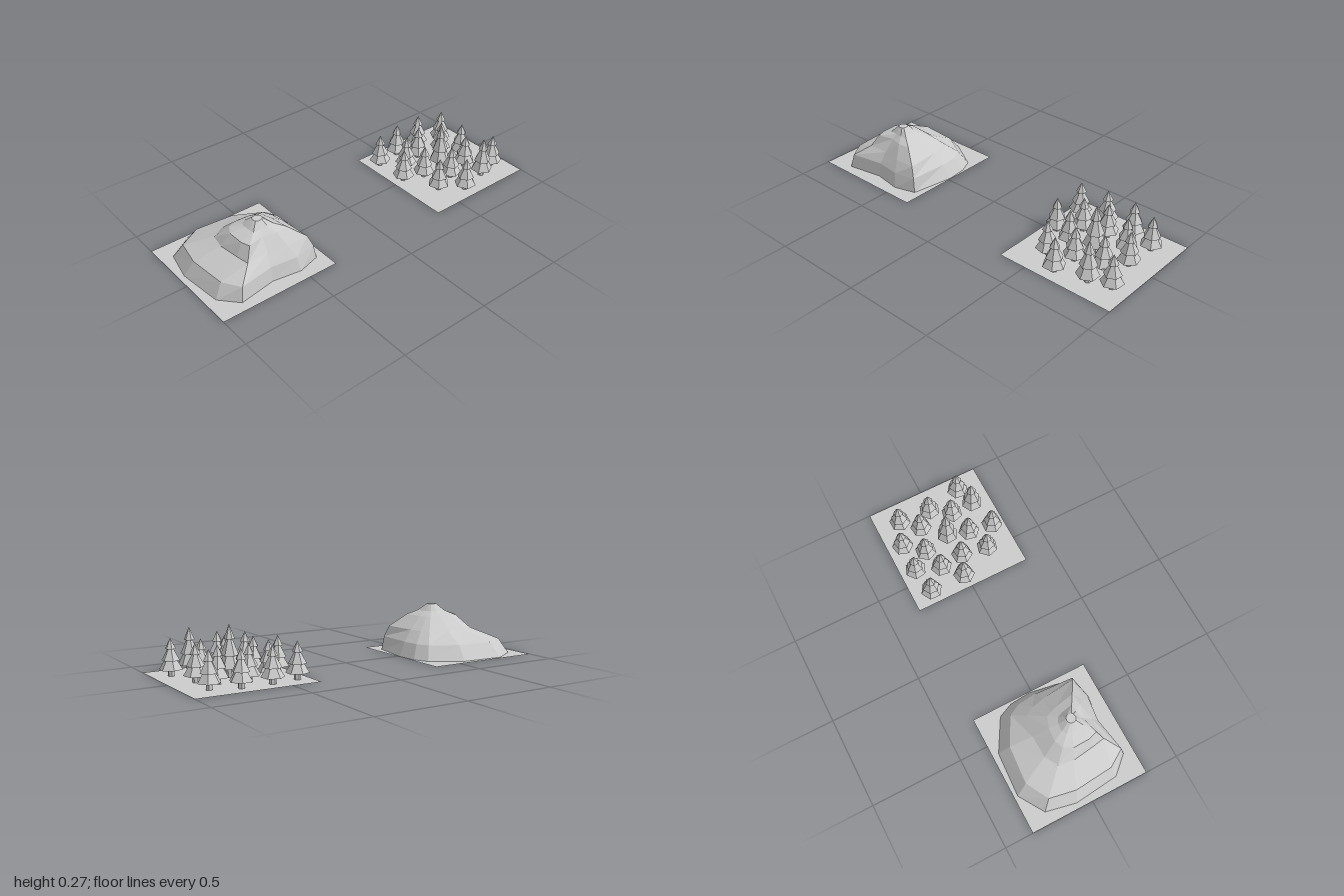
import * as THREE from 'three';

const material = new THREE.MeshStandardMaterial({ color: 0xcccccc, flatShading: true, side: THREE.DoubleSide });

// Mountain spokes, counter-clockwise from above: foot x, foot z,
// then how far out each middle level lies between summit (0) and foot (1)
const SUMMIT = [0.065, 0.62];
const LEVELS = [0, 0.078, 0.138, 0.205, 0.23, 0.267];
const SPOKES = [
  [-0.325, 0.80, 0.85, 0.49, 0.30, 0.17],
  [-0.24, 0.935, 0.87, 0.50, 0.32, 0.17],
  [-0.075, 0.97, 0.86, 0.49, 0.36, 0.17],
  [0.17, 0.945, 0.87, 0.48, 0.38, 0.17],
  [0.265, 0.86, 0.93, 0.60, 0.45, 0.22],
  [0.23, 0.66, 0.93, 0.70, 0.40, 0.27],
  [0.255, 0.505, 0.90, 0.70, 0.45, 0.25],
  [0.22, 0.385, 0.95, 0.85, 0.50, 0.28],
  [-0.015, 0.345, 0.86, 0.66, 0.36, 0.20],
  [-0.13, 0.355, 0.86, 0.63, 0.33, 0.18],
  [-0.21, 0.39, 0.85, 0.62, 0.33, 0.18],
  [-0.31, 0.56, 0.84, 0.52, 0.30, 0.17],
];

// Tree positions (x, z) and height factor
const TREES = [
  [-0.19, -0.87], [-0.01, -0.86], [0.19, -0.905], [-0.10, -0.785], [0.095, -0.785], [0.225, -0.79, 1.21],
  [-0.24, -0.73], [-0.14, -0.64], [0.01, -0.67, 1.39], [0.13, -0.64], [0.265, -0.62], [-0.24, -0.565],
  [-0.105, -0.515], [0.03, -0.53], [0.175, -0.505], [-0.215, -0.415], [-0.015, -0.415],
];

function mesh(name, geometry) {
  const m = new THREE.Mesh(geometry, material);
  m.name = name;
  return m;
}

// Flat ground plate, optionally open beneath a hollow form
function plate(name, x0, x1, z0, z1, outline) {
  const shape = new THREE.Shape([[x0, -z1], [x1, -z1], [x1, -z0], [x0, -z0]].map(p => new THREE.Vector2(...p)));
  if (outline) shape.holes.push(new THREE.Path(outline.map(([x, z]) => new THREE.Vector2(x, -z))));
  return mesh(name, new THREE.ShapeGeometry(shape).rotateX(-Math.PI / 2));
}

// Hollow mountain lofted through the level rings, with a flat summit
function mountainGeometry() {
  const n = SPOKES.length, positions = [], index = [];
  LEVELS.forEach((y, level) => {
    for (const spoke of SPOKES) {
      const dx = spoke[0] - SUMMIT[0], dz = spoke[1] - SUMMIT[1];
      let f = level === 0 ? 1 : spoke[level + 1];
      if (level === LEVELS.length - 1) f = 0.025 / Math.hypot(dx, dz);
      positions.push(SUMMIT[0] + dx * f, y, SUMMIT[1] + dz * f);
    }
  });
  for (let level = 0; level < LEVELS.length - 1; level++) {
    for (let i = 0; i < n; i++) {
      const a = level * n + i, b = level * n + (i + 1) % n;
      index.push(a, b, b + n, a, b + n, a + n);
    }
  }
  const top = (LEVELS.length - 1) * n;
  for (let i = 1; i < n - 1; i++) index.push(top, top + i, top + i + 1);
  const g = new THREE.BufferGeometry();
  g.setAttribute('position', new THREE.Float32BufferAttribute(positions, 3));
  g.setIndex(index);
  g.computeVertexNormals();
  return g;
}

// Six-sided stepped outline: three skirts of needles, then the trunk
const foliage = new THREE.LatheGeometry([
  [0, 0.034], [0.06, 0.034], [0.032, 0.08], [0.046, 0.08], [0.015, 0.138], [0.027, 0.138], [0, 0.192],
].map(p => new THREE.Vector2(...p)), 6);
const trunk = new THREE.CylinderGeometry(0.017, 0.017, 0.034, 6, 1, true).translate(0, 0.017, 0);

export function createModel() {
  const model = new THREE.Group();
  model.name = 'mountainAndForest';

  // Mountain tile
  const mountainTile = new THREE.Group();
  mountainTile.name = 'mountainTile';
  mountainTile.add(plate('mountainGround', -0.345, 0.32, 0.34, 1, SPOKES), mesh('mountain', mountainGeometry()));
  model.add(mountainTile);

  // Forest tile
  const forestTile = new THREE.Group();
  forestTile.name = 'forestTile';
  forestTile.add(plate('forestGround', -0.325, 0.34, -1, -0.345));
  TREES.forEach(([x, z, height = 1], i) => {
    const tree = new THREE.Group();
    tree.name = 'tree';
    tree.add(mesh('foliage', foliage), mesh('trunk', trunk));
    tree.position.set(x, 0, z);
    tree.rotation.y = i * 0.73;
    tree.scale.y = height;
    forestTile.add(tree);
  });
  model.add(forestTile);
  return model;
}
